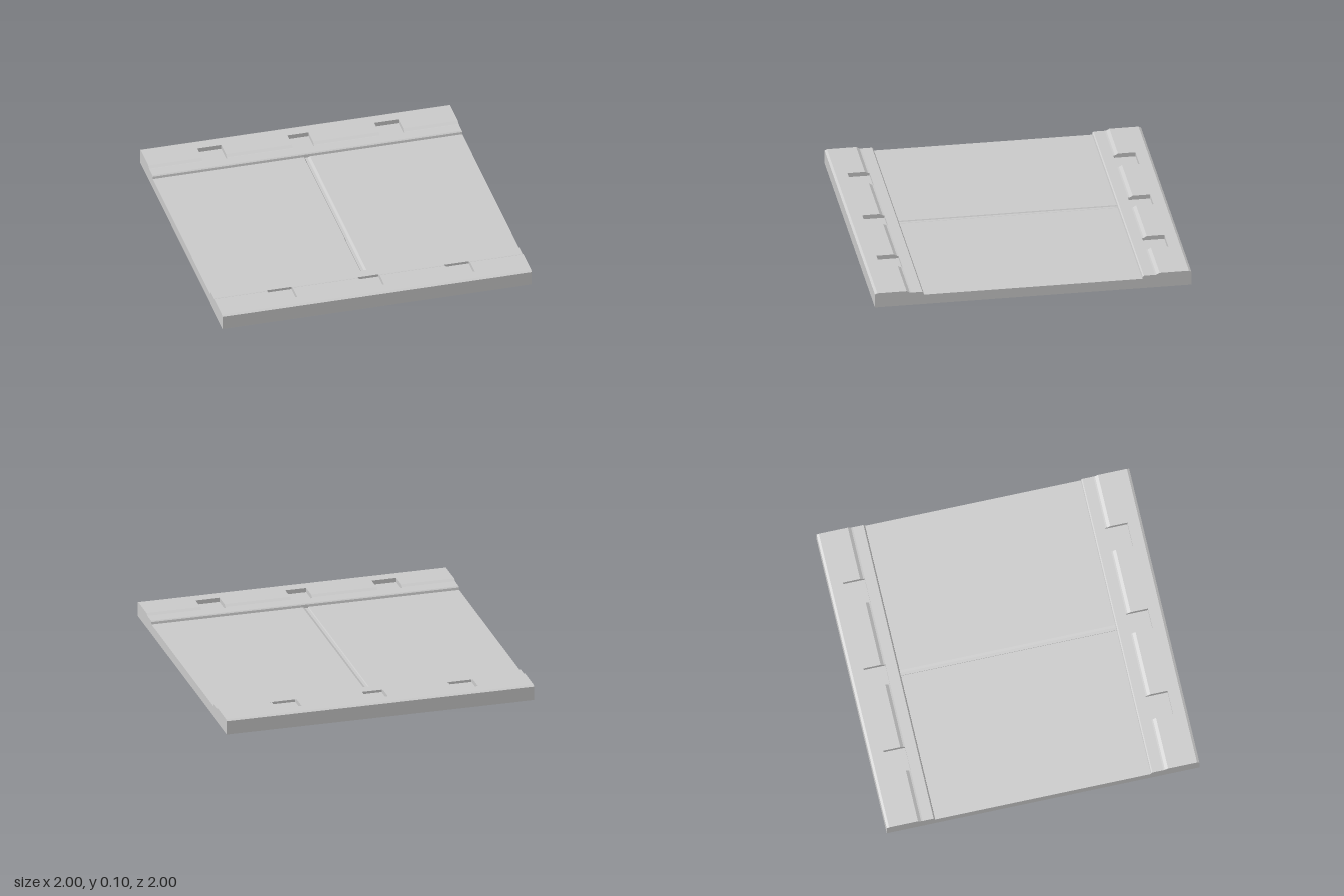
import * as THREE from 'three';

// Half cross-section as [z, y], from the outer foot to the sunken panel
const PANEL_Y = 0.065, POCKET_Y = 0.07;
const POCKET_Z = [0.77, 0.91];
const half = [
  [1, 0], [1, 0.09], [0.985, 0.098], [0.91, 0.098], [0.8, 0.098],
  [0.78, 0.087], [0.77, 0.086], [0.7, 0.086], [0.693, 0.08], [0.69, PANEL_Y],
];
const profile = [
  ...half.map(([z, y]) => [-z, y]),
  ...half.slice().reverse(),
];

const pockets = [[-0.655, -0.495], [-0.07, 0.065], [0.49, 0.65]];

// Seam down the middle of the panel: [x, depth]
const seam = [[-0.022, 0], [-0.018, 0.006], [0, 0.006], [0.016, 0]];

// Collects quads (counter-clockwise corners) into one flat-shaded mesh
function quadMesh(name, fill) {
  const pos = [];
  fill((a, b, c, d) => pos.push(...a, ...b, ...c, ...a, ...c, ...d));
  const g = new THREE.BufferGeometry();
  g.setAttribute('position', new THREE.Float32BufferAttribute(pos, 3));
  g.computeVertexNormals();
  const mesh = new THREE.Mesh(g, new THREE.MeshStandardMaterial({ color: 0xcccccc, flatShading: true }));
  mesh.name = name;
  return mesh;
}

// Wall across x between a base height and the profile; dir is its facing
function sideWall(quad, x, bands, base, dir) {
  for (const [[z0, y0], [z1, y1]] of bands) {
    if (z0 === z1) continue;
    const c = [[x, base, z0], [x, y0, z0], [x, y1, z1], [x, base, z1]];
    quad(...(dir > 0 ? c : c.reverse()));
  }
}

export function createModel() {
  const group = new THREE.Group();
  group.name = 'floorPanel';

  const bands = profile.slice(1).map((p, i) => [profile[i], p]);
  const inPocketZ = ([[z0], [z1]]) => {
    const m = Math.abs(z0 + z1) / 2;
    return m > POCKET_Z[0] && m < POCKET_Z[1];
  };
  const columns = [[-1, 0], ...pockets.flat().map(x => [x, 0]), ...seam, [1, 0]]
    .sort((a, b) => a[0] - b[0]);

  // Slab with raised rails, sunken panel and pocket openings
  group.add(quadMesh('slab', quad => {
    const point = ([x, depth], [z, y]) => [x, y === PANEL_Y ? y - depth : y, z];
    for (let i = 0; i + 1 < columns.length; i++) {
      const l = columns[i], r = columns[i + 1];
      const mid = (l[0] + r[0]) / 2;
      const open = pockets.some(([a, b]) => mid > a && mid < b);
      for (const band of bands) {
        if (open && inPocketZ(band)) continue;
        const [p, q] = band;
        quad(point(l, p), point(l, q), point(r, q), point(r, p));
      }
    }
    sideWall(quad, 1, bands, 0, 1);
    sideWall(quad, -1, bands, 0, -1);
    quad([-1, 0, -1], [1, 0, -1], [1, 0, 1], [-1, 0, 1]);
  }));

  // Square pockets sunk into both rails
  for (const side of [-1, 1]) {
    const rail = bands.filter(b => inPocketZ(b) && b[0][0] * side > 0);
    const [z0, y0] = rail[0][0], [z1, y1] = rail[rail.length - 1][1];
    for (const [x0, x1] of pockets) {
      group.add(quadMesh('pocket', quad => {
        const f = POCKET_Y;
        quad([x0, f, z0], [x0, f, z1], [x1, f, z1], [x1, f, z0]);
        quad([x0, f, z0], [x1, f, z0], [x1, y0, z0], [x0, y0, z0]);
        quad([x1, f, z1], [x0, f, z1], [x0, y1, z1], [x1, y1, z1]);
        sideWall(quad, x0, rail, f, 1);
        sideWall(quad, x1, rail, f, -1);
      }));
    }
  }
  return group;
}
